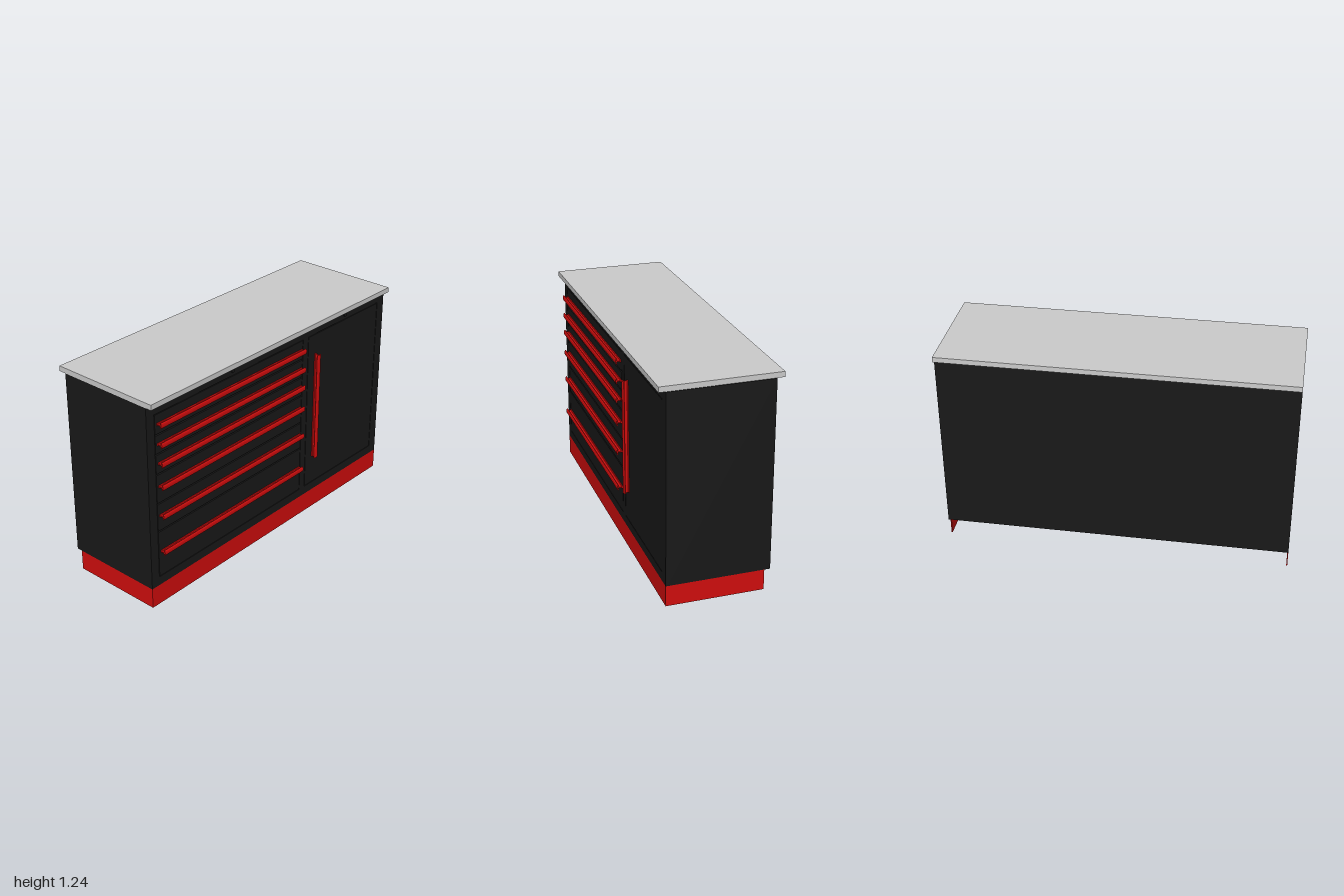
import * as THREE from 'three';

const black = new THREE.MeshStandardMaterial({ color: 0x191919 });
const red = new THREE.MeshStandardMaterial({ color: 0xd20d0d });
const grey = new THREE.MeshStandardMaterial({ color: 0xcccccc });

function add(parent, name, geometry, material) {
  const mesh = new THREE.Mesh(geometry, material);
  mesh.name = name;
  parent.add(mesh);
  return mesh;
}

// Box given by its minimum and maximum on each axis
function box(parent, name, material, [x0, x1], [y0, y1], [z0, z1]) {
  const mesh = add(parent, name, new THREE.BoxGeometry(x1 - x0, y1 - y0, z1 - z0), material);
  mesh.position.set((x0 + x1) / 2, (y0 + y1) / 2, (z0 + z1) / 2);
  return mesh;
}

function rectPath(PathType, x0, x1, y0, y1) {
  return new PathType([[x0, y0], [x1, y0], [x1, y1], [x0, y1]].map(p => new THREE.Vector2(...p)));
}

const FRONT = 0.295, RECESS = 0.285, GAP = 0.004;

// Rail handle: narrow foot, thin web and a front grip with swept-back lips
function handleGeometry(length) {
  const half = [[0, 0.007], [0.003, 0.007], [0.006, 0.003], [0.025, 0.003],
    [0.026, 0.009], [0.023, 0.015], [0.028, 0.016], [0.032, 0.011], [0.033, 0.004]];
  const outline = [...half, ...half.map(([z, y]) => [z, -y]).reverse()];
  const shape = new THREE.Shape(outline.map(p => new THREE.Vector2(...p)));
  const geometry = new THREE.ExtrudeGeometry(shape, { depth: length, bevelEnabled: false });
  // Centre it, with the length along x and the grip facing +z
  return geometry.translate(0, 0, -length / 2).rotateY(-Math.PI / 2);
}

export function createModel() {
  const model = new THREE.Group();
  model.name = 'workshopCabinet';

  // Cabinet body with a fascia cut out for the drawers and the door
  box(model, 'carcass', black, [-1, 1], [0.12, 1.21], [-0.29, RECESS]);
  const drawerX = [-0.945, 0.24], doorX = [0.285, 0.94], panelY = [0.172, 1.15];
  const fasciaShape = rectPath(THREE.Shape, -1, 1, 0.12, 1.21);
  fasciaShape.holes.push(
    rectPath(THREE.Path, ...drawerX, ...panelY),
    rectPath(THREE.Path, ...doorX, ...panelY));
  const fascia = add(model, 'fascia',
    new THREE.ExtrudeGeometry(fasciaShape, { depth: FRONT - RECESS, bevelEnabled: false }), black);
  fascia.position.z = RECESS;

  // Worktop
  box(model, 'worktop', grey, [-1, 0.995], [1.21, 1.24], [-0.333, 0.333]);

  // Plinth: thin front and sides, open at the back
  box(model, 'plinthFront', red, [-1, 1], [0, 0.12], [0.289, FRONT]);
  for (const [name, x] of [['plinthLeft', 0.994], ['plinthRight', -1]]) {
    box(model, name, red, [x, x + 0.006], [0, 0.12], [-0.257, 0.289]);
  }

  // Drawers, shallow at the top and deep at the bottom
  const seams = [1.15, 1.03, 0.918, 0.8, 0.625, 0.455, 0.172];
  const handleHeights = [1.09, 0.975, 0.862, 0.727, 0.55, 0.328];
  const drawerHandle = handleGeometry(1.16);
  handleHeights.forEach((y, i) => {
    const drawer = new THREE.Group();
    drawer.name = `drawer${i + 1}`;
    model.add(drawer);
    box(drawer, 'drawerFront', black, [drawerX[0] + GAP, drawerX[1] - GAP],
      [seams[i + 1] + GAP, seams[i] - GAP], [RECESS, FRONT]);
    add(drawer, 'drawerHandle', drawerHandle, red).position.set(-0.348, y, FRONT);
  });

  // Door with an upright handle
  const door = new THREE.Group();
  door.name = 'door';
  model.add(door);
  box(door, 'doorPanel', black, [doorX[0] + GAP, doorX[1] - GAP],
    [panelY[0] + GAP, panelY[1] - GAP], [RECESS, FRONT]);
  const doorHandle = add(door, 'doorHandle', handleGeometry(0.67), red);
  doorHandle.position.set(0.353, 0.69, FRONT);
  doorHandle.rotation.z = Math.PI / 2;

  // Round locks above the drawers and the door
  for (const x of [-0.355, 0.62]) {
    const lock = new THREE.Group();
    lock.name = 'lock';
    lock.position.set(x, 1.18, FRONT);
    model.add(lock);
    add(lock, 'lockBarrel', new THREE.CylinderGeometry(0.013, 0.013, 0.006, 24), black)
      .position.z = 0.003;
    lock.children[0].rotation.x = Math.PI / 2;
    box(lock, 'keySlot', black, [-0.0015, 0.0015], [-0.006, 0.006], [0.006, 0.007]);
  }
  return model;
}
